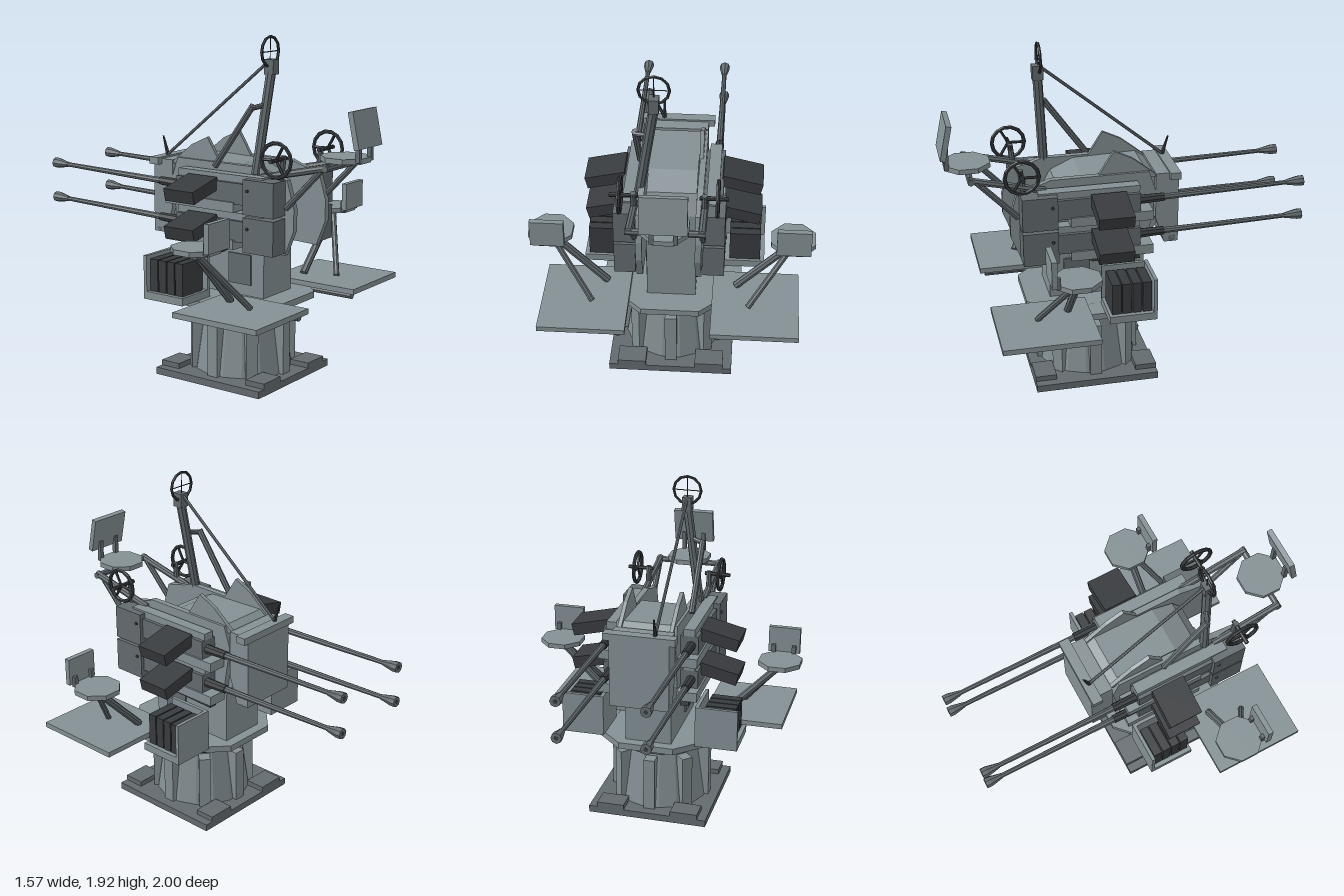
import * as THREE from 'three';

const mat = (color) => new THREE.MeshStandardMaterial({ color, flatShading: true, roughness: 0.8, side: THREE.DoubleSide });
const light = mat(0x849094), mid = mat(0x636b6f), dark = mat(0x383b3e);

export function createModel() {
  const root = new THREE.Group();
  const group = (name, parent = root) => {
    const g = new THREE.Group();
    g.name = name;
    parent.add(g);
    return g;
  };
  const add = (parent, name, geo, material, x = 0, y = 0, z = 0) => {
    const m = new THREE.Mesh(geo, material);
    m.name = name;
    m.position.set(x, y, z);
    parent.add(m);
    return m;
  };
  // box given by its limits on each axis
  const box = (parent, name, material, [x0, x1], [y0, y1], [z0, z1]) =>
    add(parent, name, new THREE.BoxGeometry(Math.abs(x1 - x0), y1 - y0, z1 - z0), material,
      (x0 + x1) / 2, (y0 + y1) / 2, (z0 + z1) / 2);
  // round bar between two points, radius r0 at a and r1 at b
  const bar = (parent, name, material, a, b, r0, r1 = r0, sides = 8) => {
    const p = new THREE.Vector3(...a), q = new THREE.Vector3(...b), d = q.clone().sub(p);
    const m = add(parent, name, new THREE.CylinderGeometry(r1, r0, d.length(), sides), material);
    m.position.copy(p).add(q).multiplyScalar(0.5);
    m.quaternion.setFromUnitVectors(new THREE.Vector3(0, 1, 0), d.normalize());
    return m;
  };
  // side profile of (z, y) points extruded across x
  const plate = (parent, name, material, pts, x, width) => {
    const shape = new THREE.Shape(pts.map((p) => new THREE.Vector2(...p)));
    const geo = new THREE.ExtrudeGeometry(shape, { depth: width, bevelEnabled: false });
    geo.translate(0, 0, -width / 2).rotateY(-Math.PI / 2);
    return add(parent, name, geo, material, x);
  };
  const disc = (parent, name, material, r0, r1, y0, y1, sides, x, z) => {
    const geo = new THREE.CylinderGeometry(r1, r0, y1 - y0, sides);
    geo.rotateY(Math.PI / sides);
    return add(parent, name, geo, material, x, (y0 + y1) / 2, z);
  };

  // Pedestal
  const CZ = 0.2;
  const base = group('pedestal');
  box(base, 'basePlate', mid, [-0.35, 0.35], [0, 0.04], [CZ - 0.35, CZ + 0.35]);
  for (const sx of [-1, 1]) for (const sz of [-1, 1])
    box(base, 'cornerBlock', mid, [sx * 0.14, sx * 0.3], [0.04, 0.07], [CZ + sz * 0.29 - 0.06, CZ + sz * 0.29 + 0.06]);
  disc(base, 'pedestalCone', light, 0.275, 0.225, 0.04, 0.39, 16, 0, CZ);
  for (let i = 0; i < 8; i++) {
    const rib = group('rib', base);
    rib.position.z = CZ;
    rib.rotation.y = i * Math.PI / 4;
    box(rib, 'ribBlock', light, [-0.033, 0.033], [0.04, 0.355], [0.15, 0.295]);
  }
  disc(base, 'turningRing', mid, 0.27, 0.28, 0.385, 0.455, 12, 0, CZ);
  disc(base, 'deck', light, 0.42, 0.42, 0.45, 0.487, 8, 0, CZ).scale.z = 0.95;

  // Central carriage
  const carriage = group('carriage');
  plate(carriage, 'column', light, [[0.43, 0.485], [0.43, 1.04], [0.37, 1.15], [0.24, 1.21], [-0.12, 1.22],
    [-0.19, 1.17], [-0.19, 0.9], [-0.11, 0.78], [-0.11, 0.485]], 0, 0.27);
  plate(carriage, 'rearShield', light, [[-0.17, 0.93], [-0.17, 1.2], [-0.3, 1.2], [-0.3, 0.78], [-0.22, 0.78]], 0, 0.34);
  box(carriage, 'shieldTopBar', light, [-0.205, 0.205], [1.17, 1.21], [-0.305, -0.245]);
  bar(carriage, 'shieldFootRod', mid, [-0.17, 0.8, -0.265], [0.17, 0.8, -0.265], 0.022);

  // Seat with its backrest on the +z side, origin at the seat top
  const seat = (name, x, y, z, backWidth, backHeight, gap, tilt) => {
    const s = group(name);
    s.position.set(x, y, z);
    disc(s, 'cushion', light, 0.135, 0.135, -0.028, 0, 8, 0, 0).scale.x = 0.97;
    for (const sx of [-1, 1])
      box(s, 'backBracket', mid, [sx * 0.06 - 0.012, sx * 0.06 + 0.012], [-0.02, gap + 0.05], [0.1, 0.125]);
    const back = group('backrest', s);
    back.position.set(0, gap, 0.135);
    back.rotation.x = tilt;
    box(back, 'backPanel', light, [-backWidth / 2, backWidth / 2], [0, backHeight], [-0.015, 0.015]);
    return s;
  };

  // Paired parts
  for (const s of [-1, 1]) {
    const side = group(s > 0 ? 'leftSide' : 'rightSide');
    const X = (a, b) => [s * a, s * b];

    plate(side, 'cradlePlate', light, [[0.59, 0.76], [0.645, 0.9], [0.645, 1.02], [0.6, 1.17], [0.47, 1.2],
      [0.42, 1.22], [-0.13, 1.22], [-0.17, 1.1], [-0.13, 0.85], [0.1, 0.78]], s * 0.157, 0.034);
    plate(side, 'topFin', light, [[0.16, 1.2], [0.065, 1.35], [-0.04, 1.3], [-0.14, 1.22], [-0.19, 1.18]], s * 0.148, 0.022);
    box(side, 'columnPanel', mid, X(0.13, 0.145), [0.55, 0.72], [0.2, 0.35]);

    // Two guns, one above the other
    for (const y of [1.08, 0.875]) {
      const gun = group('gun', side);
      box(gun, 'receiver', mid, X(0.17, 0.275), [y - 0.055, y + 0.06], [-0.06, 0.58]);
      box(gun, 'receiverCover', light, X(0.19, 0.255), [y + 0.06, y + 0.1], [-0.06, 0.5]);
      box(gun, 'receiverRail', light, X(0.17, 0.285), [y - 0.1, y - 0.045], [-0.13, 0.33]);
      box(gun, 'breechBlock', mid, X(0.18, 0.295), [y - 0.1, y + 0.09], [0.4, 0.595]);
      const bx = s * 0.235, at = (z) => [bx, y + 0.005 - z * 0.025, z];
      bar(gun, 'barrelSleeve', dark, at(0), at(-0.2), 0.028, 0.024);
      bar(gun, 'barrel', mid, at(-0.2), at(-0.91), 0.018, 0.013);
      bar(gun, 'flashCone', mid, at(-0.9), at(-0.97), 0.015, 0.03);
      bar(gun, 'muzzle', mid, at(-0.97), at(-1), 0.03, 0.03);
      bar(gun, 'bore', dark, at(-0.99), at(-1.001), 0.012);
      // Side magazine, drooping outwards
      const mag = box(gun, 'magazine', dark, X(0.26, 0.485), [y - 0.015, y + 0.055], [0.02, 0.215]);
      mag.rotation.z = -s * 0.23;
      for (const z of [0.1, 0.43]) bar(gun, 'bolt', dark, [s * 0.27, y + 0.03, z], [s * 0.302, y + 0.03, z], 0.009);
    }
    plate(side, 'caseChute', dark, [[0.26, 0.77], [0.26, 0.79], [-0.06, 0.77], [-0.07, 0.72], [0.2, 0.73]], s * 0.2, 0.05);

    // Ammunition rack on the deck
    const rack = group('ammoRack', side);
    box(rack, 'rackFloor', light, X(0.27, 0.515), [0.487, 0.53], [-0.1, 0.165]);
    box(rack, 'rackBack', light, X(0.27, 0.515), [0.53, 0.73], [-0.1, -0.08]);
    box(rack, 'rackInnerWall', light, X(0.27, 0.29), [0.53, 0.73], [-0.1, 0.165]);
    for (let i = 0; i < 4; i++)
      box(rack, 'spareMagazine', dark, X(0.315, 0.49), [0.53, 0.71], [-0.073 + i * 0.057, -0.023 + i * 0.057]);

    // Foot platform and side seat
    box(side, 'footPlatform', light, X(0.23, 0.71), [0.485, 0.515], [0.25, 0.78]);
    bar(side, 'platformBeam', mid, [s * 0.27, 0.468, 0.2], [s * 0.27, 0.468, 0.75], 0.02);
    seat('sideSeat', s * 0.665, 0.875, 0.37, 0.185, 0.155, -0.005, 0);
    bar(side, 'seatLeg', mid, [s * 0.36, 0.52, 0.37], [s * 0.66, 0.83, 0.37], 0.022);
    bar(side, 'seatStrut', mid, [s * 0.43, 0.52, 0.55], [s * 0.655, 0.82, 0.385], 0.017);
    bar(side, 'seatPost', mid, [s * 0.66, 0.81, 0.37], [s * 0.66, 0.85, 0.37], 0.03);

    // Arms carrying the rear seat
    bar(side, 'seatArm', mid, [s * 0.185, 1.17, 0.45], [s * 0.185, 1.265, 0.86], 0.02);
    bar(side, 'seatArmBrace', mid, [s * 0.18, 1.02, 0.6], [s * 0.18, 1.25, 0.82], 0.017);

    // Handwheel
    const wheel = group('handwheel', side);
    wheel.position.set(s * 0.255, 1.285, 0.585);
    wheel.rotation.y = Math.PI / 2;
    add(wheel, 'rim', new THREE.TorusGeometry(0.092, 0.011, 6, 14), dark);
    for (let i = 0; i < 3; i++) {
      const a = Math.PI / 2 + 0.5 + i * Math.PI * 2 / 3;
      bar(wheel, 'spoke', dark, [0, 0, 0], [Math.cos(a) * 0.09, Math.sin(a) * 0.09, 0], 0.008, 0.008, 6);
    }
    bar(side, 'wheelAxle', dark, [s * 0.16, 1.285, 0.585], [s * 0.31, 1.285, 0.585], 0.012);
    bar(side, 'wheelPost', mid, [s * 0.185, 1.17, 0.57], [s * 0.185, 1.3, 0.585], 0.016);
  }

  // Rear seat
  seat('rearSeat', 0, 1.303, 0.85, 0.24, 0.2, 0.055, -0.21);
  bar(root, 'rearSeatCrossbar', mid, [-0.205, 1.258, 0.85], [0.205, 1.258, 0.85], 0.018);

  // Sight mast with ring sight, linkage rod and rear bead
  const sight = group('sight');
  const SX = -0.085;
  bar(sight, 'mast', mid, [-0.17, 1.18, 0.4], [SX, 1.73, 0.435], 0.027);
  box(sight, 'mastHead', mid, [SX - 0.027, SX + 0.027], [1.71, 1.79], [0.405, 0.465]);
  bar(sight, 'mastBrace', mid, [-0.188, 1.2, 0.14], [-0.188, 1.55, 0.39], 0.018);
  bar(sight, 'braceTie', mid, [-0.195, 1.535, 0.385], [-0.115, 1.55, 0.42], 0.014);
  bar(sight, 'linkRod', mid, [SX, 1.78, 0.42], [SX, 1.21, -0.27], 0.009, 0.009, 6);
  add(sight, 'sightRing', new THREE.TorusGeometry(0.08, 0.008, 6, 12), dark, SX, 1.83, 0.427);
  bar(sight, 'crossWire', dark, [SX - 0.08, 1.83, 0.427], [SX + 0.08, 1.83, 0.427], 0.003, 0.003, 4);
  bar(sight, 'crossWire', dark, [SX, 1.75, 0.427], [SX, 1.91, 0.427], 0.003, 0.003, 4);
  bar(sight, 'rearBead', dark, [SX, 1.2, -0.265], [SX, 1.315, -0.3], 0.013, 0.005, 6);

  return root;
}
